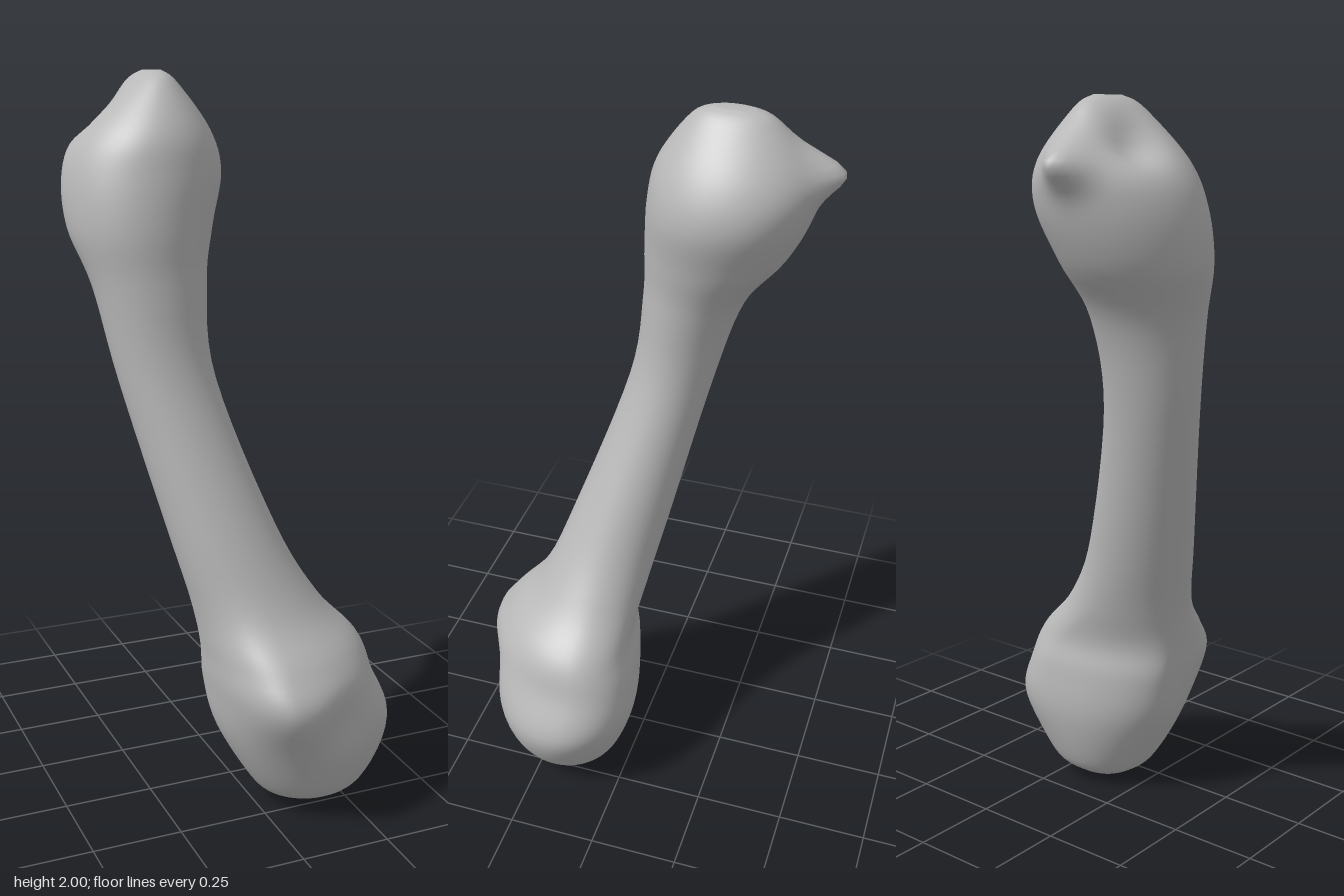
import * as THREE from 'three';

// Extents of horizontal sections, top to bottom: y, xMin, xMax, zMin, zMax
const SECTIONS = [
  [2, -.17, -.13, -.23, -.13],
  [1.97, -.22, -.09, -.29, -.07],
  [1.85, -.345, 0, -.385, .015],
  [1.74, -.397, .028, -.385, .042],
  [1.6, -.4, -.01, -.325, .055],
  [1.45, -.355, -.045, -.215, .058],
  [1.2, -.305, -.04, -.14, .09],
  [.8, -.21, .09, -.055, .22],
  [.6, -.16, .2, -.015, .3],
  [.48, -.14, .31, 0, .4],
  [.38, -.13, .35, -.018, .455],
  [.24, -.1, .4, -.02, .41],
  [.08, -.01, .325, .03, .34],
  [.03, .045, .25, .08, .27],
  [0, .11, .19, .14, .2],
];

// Soft local pushes: centre, displacement, radius
const PUSHES = [
  [new THREE.Vector3(-.2, 1.85, -.39), new THREE.Vector3(0, 0, -.07), .06],       // pointed spur
  [new THREE.Vector3(-.29, 1.9, -.25), new THREE.Vector3(.025, -.03, .01), .07],  // hollow on the head
  [new THREE.Vector3(.17, .32, .42), new THREE.Vector3(0, 0, -.025), .08],        // beside the front knob
];

// Catmull-Rom interpolation of a whole section row
function sectionAt(t) {
  const last = SECTIONS.length - 1;
  const i = Math.min(Math.floor(t), last - 1);
  const row = (k) => SECTIONS[THREE.MathUtils.clamp(k, 0, last)];
  return row(i).map((p1, c) => {
    const f = t - i, p2 = row(i + 1)[c];
    const m1 = (p2 - row(i - 1)[c]) / 2, m2 = (row(i + 2)[c] - p1) / 2;
    return p1 + f * (m1 + f * (3 * (p2 - p1) - 2 * m1 - m2 + f * (2 * (p1 - p2) + m1 + m2)));
  });
}

// Four elliptical quadrants; near the lower head the front knob shifts to -x,
// the back bulge to +x and the widest line towards the back
function pointOn([y, xMin, xMax, zMin, zMax], angle) {
  const c = -Math.cos(angle), s = Math.sin(angle);
  const skew = .4 * Math.exp(-(((y - .4) / .18) ** 2));
  const cx = (xMin + xMax - Math.sign(s) * skew * (xMax - xMin)) / 2;
  const cz = (zMin + zMax - skew * (zMax - zMin)) / 2;
  return new THREE.Vector3(
    cx + c * (c < 0 ? cx - xMin : xMax - cx),
    y,
    cz + s * (s < 0 ? cz - zMin : zMax - cz));
}

function boneGeometry(sides = 64, steps = 6) {
  const rings = (SECTIONS.length - 1) * steps + 1;
  const points = [], index = [];
  for (let i = 0; i < rings; i++) {
    const section = sectionAt(i / steps);
    for (let j = 0; j < sides; j++) {
      const p = pointOn(section, ((j + .5) / sides) * Math.PI * 2);
      const start = p.clone();
      for (const [centre, push, radius] of PUSHES) {
        p.addScaledVector(push, Math.exp(-start.distanceToSquared(centre) / radius ** 2));
      }
      points.push(p);
    }
  }
  for (let i = 0; i < rings - 1; i++) {
    for (let j = 0; j < sides; j++) {
      const a = i * sides + j, b = i * sides + (j + 1) % sides;
      index.push(a, a + sides, b, b, a + sides, b + sides);
    }
  }
  // Close both ends
  const top = points.push(new THREE.Vector3(-.15, 2, -.18)) - 1;
  const bottom = points.push(new THREE.Vector3(.15, 0, .17)) - 1;
  const base = (rings - 1) * sides;
  for (let j = 0; j < sides; j++) {
    const k = (j + 1) % sides;
    index.push(top, j, k, bottom, base + k, base + j);
  }
  const geometry = new THREE.BufferGeometry().setFromPoints(points);
  geometry.setIndex(index);
  geometry.computeVertexNormals();
  return geometry;
}

export function createModel() {
  const group = new THREE.Group();
  group.name = 'boneModel';
  const grey = new THREE.MeshStandardMaterial({ color: 0xb8b8b8 });
  grey.name = 'boneGrey';
  const bone = new THREE.Mesh(boneGeometry(), grey);
  bone.name = 'bone';
  group.add(bone);
  return group;
}
